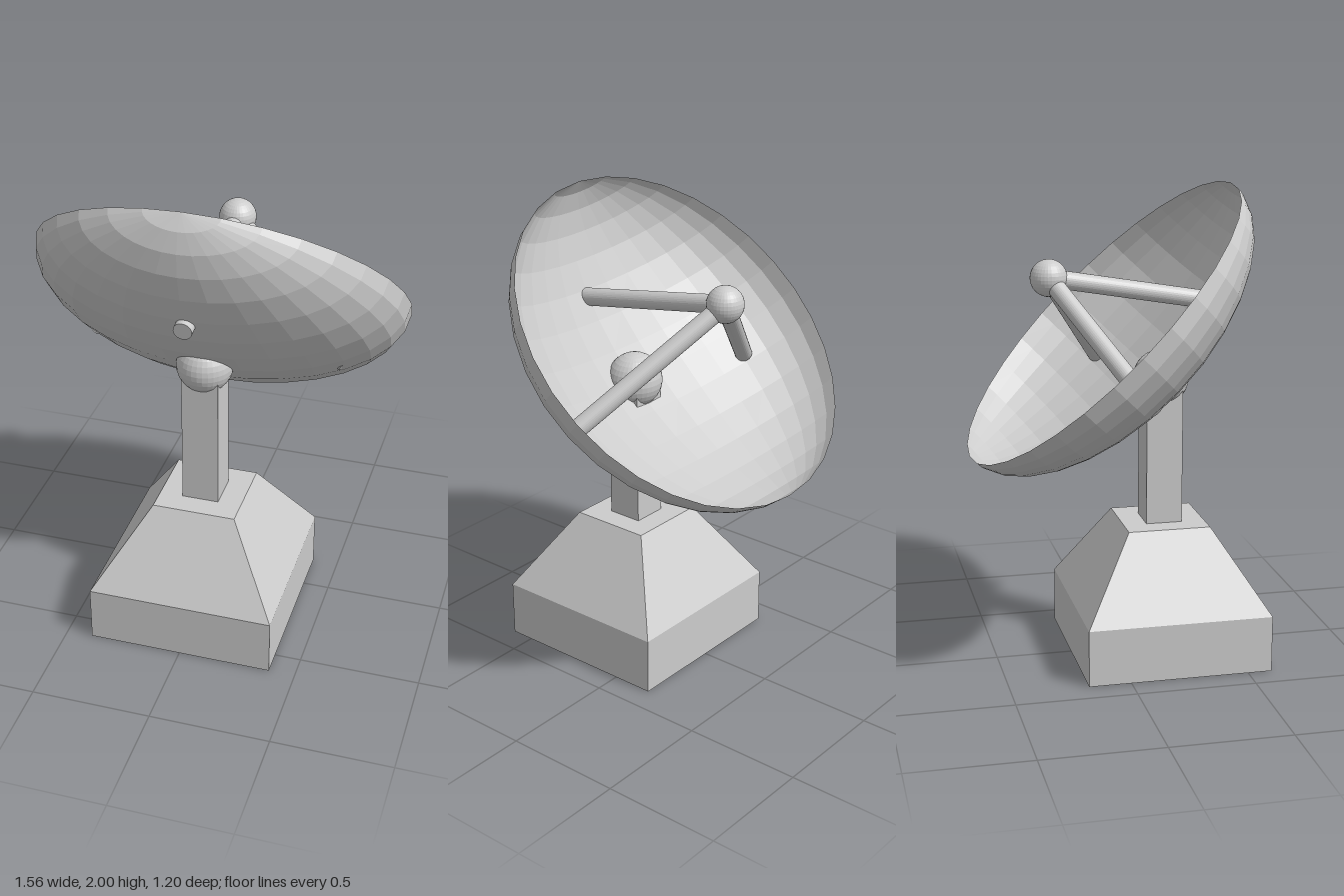
import * as THREE from 'three';

export function createModel() {
  const group = new THREE.Group();
  const grey = new THREE.MeshStandardMaterial({ color: 0xcccccc, flatShading: true });
  grey.name = 'light grey';
  const greyTwoSided = grey.clone();
  greyTwoSided.name = 'light grey two sided';
  greyTwoSided.side = THREE.DoubleSide;

  const add = (name, geometry, x, y, z, material = grey) => {
    const mesh = new THREE.Mesh(geometry, material);
    mesh.name = name;
    mesh.position.set(x, y, z);
    group.add(mesh);
    return mesh;
  };

  // Stand: square plinth, tapered shoulder, post and pivot ball
  const standZ = 0.212;
  add('plinth', new THREE.BoxGeometry(0.78, 0.24, 0.78), 0, 0.12, standZ);
  const shoulder = new THREE.CylinderGeometry(0.175 * Math.SQRT2, 0.39 * Math.SQRT2, 0.34, 4);
  shoulder.rotateY(Math.PI / 4);
  add('shoulder', shoulder, 0, 0.41, standZ);
  add('post', new THREE.BoxGeometry(0.154, 0.62, 0.154), 0, 0.88, standZ);
  add('pivotBall', new THREE.SphereGeometry(0.117, 32, 16), 0, 1.195, standZ);

  // Dish: half of a flattened sphere with its poles on the rim, tilted up and back
  const bowl = new THREE.SphereGeometry(1, 16, 16, 0, Math.PI);
  bowl.scale(0.778, 0.778, 0.38);
  add('dish', bowl, 0, 1.45, -0.05, greyTwoSided).rotation.x = Math.PI / 4;

  // Receiver held by three struts that pass just through the dish
  const feed = new THREE.Vector3(0, 1.631, -0.261);
  add('receiver', new THREE.SphereGeometry(0.077, 32, 16), feed.x, feed.y, feed.z);
  const ends = { frontStrut: [0, 1.5, 0.5], leftStrut: [0.545, 1.19, 0.05], rightStrut: [-0.545, 1.19, 0.05] };
  for (const [name, p] of Object.entries(ends)) {
    const end = new THREE.Vector3(...p);
    const dir = feed.clone().sub(end);
    const mid = feed.clone().add(end).multiplyScalar(0.5);
    const strut = add(name, new THREE.CylinderGeometry(0.038, 0.038, dir.length(), 32), mid.x, mid.y, mid.z);
    strut.quaternion.setFromUnitVectors(new THREE.Vector3(0, 1, 0), dir.normalize());
  }
  return group;
}
